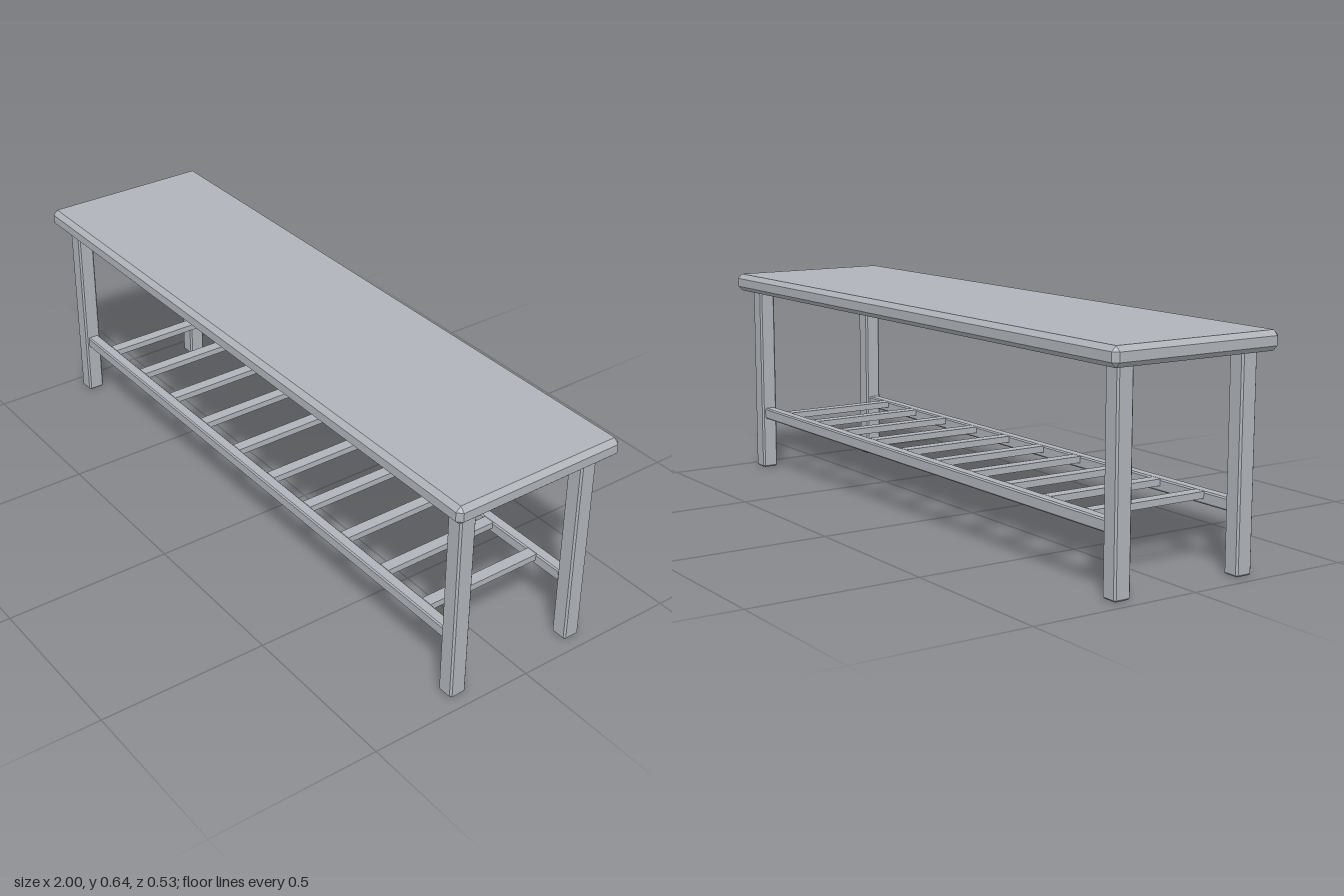
import * as THREE from 'three';
import { ConvexGeometry } from 'three/addons/geometries/ConvexGeometry.js';

const grey = new THREE.MeshStandardMaterial({ color: 0xb0b4ba });
grey.name = 'grey';

// Box with every edge and corner cut off by c
function chamferedBox(w, h, d, c) {
  const [x, y, z] = [w / 2, h / 2, d / 2];
  const points = [];
  for (const sx of [-1, 1]) for (const sy of [-1, 1]) for (const sz of [-1, 1]) {
    points.push(
      new THREE.Vector3(sx * x, sy * (y - c), sz * (z - c)),
      new THREE.Vector3(sx * (x - c), sy * y, sz * (z - c)),
      new THREE.Vector3(sx * (x - c), sy * (y - c), sz * z),
    );
  }
  return new ConvexGeometry(points);
}

export function createModel() {
  const bench = new THREE.Group();
  bench.name = 'bench';

  function add(name, geometry, x, y, z) {
    const mesh = new THREE.Mesh(geometry, grey);
    mesh.name = name;
    mesh.position.set(x, y, z);
    bench.add(mesh);
  }

  // Seat board
  add('seat', chamferedBox(2, 0.054, 0.534, 0.014), 0, 0.615, 0);

  // Four legs and the two long rails
  const leg = chamferedBox(0.051, 0.588, 0.051, 0.005);
  const rail = chamferedBox(1.82, 0.035, 0.035, 0.004);
  for (const [depth, sz] of [['front', 1], ['back', -1]]) {
    add(depth + 'LeftLeg', leg, 0.935, 0.294, sz * 0.2);
    add(depth + 'RightLeg', leg, -0.935, 0.294, sz * 0.2);
    add(depth + 'Rail', rail, 0, 0.1825, sz * 0.2);
  }

  // Shelf slats between the rails
  const slat = new THREE.BoxGeometry(0.035, 0.019, 0.37);
  const count = 10;
  for (let i = 0; i < count; i++) {
    add('shelfSlat' + (i + 1), slat, -0.8 + (1.6 * i) / (count - 1), 0.1905, 0);
  }

  return bench;
}
